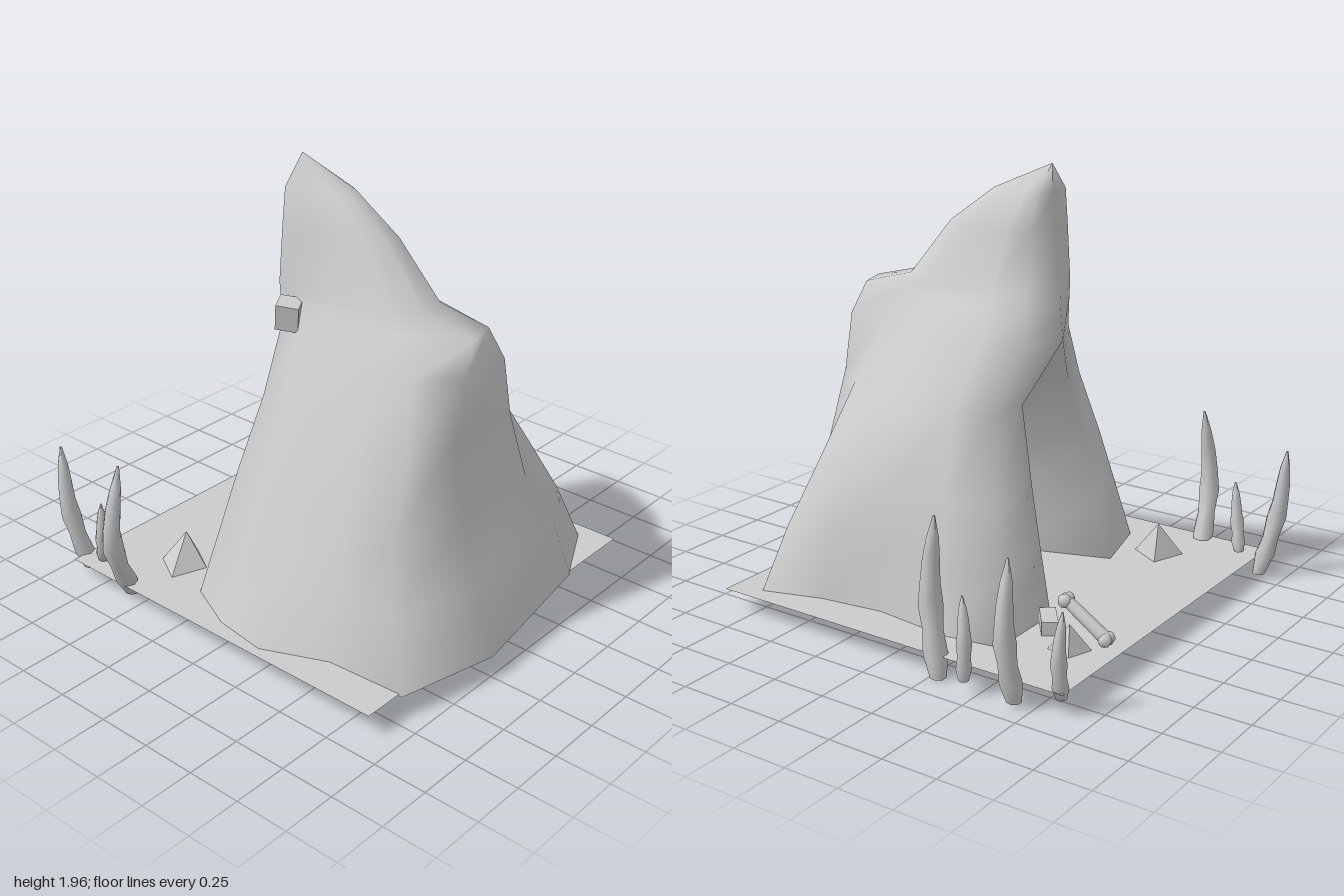
import * as THREE from 'three';
import { toCreasedNormals } from 'three/addons/utils/BufferGeometryUtils.js';

const material = new THREE.MeshStandardMaterial({ color: 0xcccccc, side: THREE.DoubleSide });

// Outer outline per height as [x, z], from the back -x jamb around the front to the back +x jamb.
const lower = [
  { y: 0.093, ring: [[-.38, -.34], [-.70, -.26], [-.81, -.02], [-.845, .23], [-.72, .52], [-.70, .89], [-.24, 1.0], [.49, .885],
    [.795, .73], [.71, .46], [.67, .17], [.71, -.2], [.67, -.45], [.29, -.45]],
    cave: [[.29, .08], [.06, .29], [-.23, .11]] },
  { y: 0.38, ring: [[-.36, -.27], [-.61, -.22], [-.68, 0], [-.70, .22], [-.64, .5], [-.62, .77], [-.22, .89], [.42, .83],
    [.68, .67], [.66, .43], [.64, .17], [.66, -.15], [.60, -.4], [.28, -.39]],
    cave: [[.30, .06], [.04, .31], [-.27, .11]] },
  { y: 0.65, ring: [[-.34, -.23], [-.50, -.2], [-.57, 0], [-.585, .2], [-.55, .45], [-.52, .69], [-.20, .785], [.27, .77],
    [.53, .61], [.60, .4], [.61, .15], [.60, -.13], [.53, -.34], [.26, -.33]],
    cave: [[.26, .05], [.03, .27], [-.25, .1]] },
  { y: 0.97, ring: [[-.25, -.18], [-.36, -.17], [-.42, 0], [-.445, .17], [-.42, .42], [-.39, .65], [-.18, .73], [.19, .73],
    [.33, .56], [.43, .34], [.49, .1], [.47, -.08], [.37, -.22], [.20, -.24]],
    cave: [[.17, 0], [.02, .12], [-.17, .05]] },
];
// Above the arch the outline is closed at one point on the back.
const upper = [
  { y: 1.23, ring: [[.03, -.33], [-.20, -.21], [-.28, -.06], [-.32, .1], [-.30, .35], [-.26, .56], [-.10, .71], [.16, .71],
    [.20, .49], [.25, .3], [.28, .1], [.27, -.08], [.21, -.26]] },
  { y: 1.37, ring: [[.02, -.31], [-.19, -.22], [-.23, -.07], [-.24, .1], [-.22, .27], [-.19, .44], [-.03, .7], [.11, .66],
    [.13, .44], [.16, .26], [.20, .1], [.20, -.06], [.18, -.25]] },
  { y: 1.43, ring: [[.01, -.3], [-.195, -.22], [-.21, -.07], [-.21, .08], [-.19, .22], [-.16, .37], [-.06, .46], [.07, .44],
    [.11, .33], [.13, .2], [.145, .08], [.145, -.05], [.14, -.22]] },
  { y: 1.68, ring: [[-.01, -.26], [-.17, -.22], [-.165, -.11], [-.15, 0], [-.135, .1], [-.11, .19], [-.05, .25], [.03, .25],
    [.07, .18], [.09, .09], [.11, 0], [.115, -.1], [.115, -.22]] },
  { y: 1.84, ring: [[-.02, -.24], [-.15, -.22], [-.135, -.16], [-.12, -.1], [-.10, -.05], [-.08, 0], [-.05, .035], [.01, .035],
    [.03, 0], [.05, -.05], [.06, -.1], [.07, -.16], [.08, -.22]] },
  { y: 1.96, ring: Array(13).fill([-.03, -.23]) },
];

// Rock shell: a horseshoe cross-section that closes into a hooked peak.
function moundGeometry() {
  const rings = [
    ...lower.map(({ y, ring, cave }) => ({ y, points: [...ring, ...cave] })),
    ...upper.map(({ y, ring }) => ({ y, points: [...ring, ...Array(4).fill(ring[0])] })),
  ];
  const n = 17, positions = [], index = [];
  for (const { y, points } of rings) for (const [x, z] of points) positions.push(x, y, z);
  for (let l = 0; l < rings.length - 1; l++) {
    for (let i = 0; i < n; i++) {
      const a = l * n + i, b = l * n + (i + 1) % n;
      index.push(a, b, b + n, a, b + n, a + n);
    }
  }
  const g = new THREE.BufferGeometry();
  g.setAttribute('position', new THREE.Float32BufferAttribute(positions, 3));
  g.setIndex(index);
  return toCreasedNormals(g, 1.7);
}

// Curved, tapering spike through the given points.
function spikeGeometry(points, radius) {
  const curve = new THREE.CatmullRomCurve3(points.map(p => new THREE.Vector3(...p)));
  const g = new THREE.CylinderGeometry(1, 1, 1, 7, 7);
  const pos = g.attributes.position;
  const profile = [0.65, 1, 0.82, 1, 0.8, 0.7, 0.5, 0.1];
  for (let i = 0; i < pos.count; i++) {
    const t = pos.getY(i) + 0.5, c = curve.getPoint(t);
    const r = radius * profile[Math.round(t * 7)];
    pos.setXYZ(i, c.x + pos.getX(i) * r, c.y, c.z + pos.getZ(i) * r);
  }
  return toCreasedNormals(g, 1.2);
}

// Angular stone with a flat underside resting at y = 0.
function rockGeometry(w, h, d) {
  const g = new THREE.OctahedronGeometry(1, 0);
  const pos = g.attributes.position;
  for (let i = 0; i < pos.count; i++) {
    const y = pos.getY(i);
    pos.setXYZ(i, pos.getX(i) * w / 2 + 0.12 * w * y, Math.max(y, 0) * h, pos.getZ(i) * d / 2);
  }
  g.computeVertexNormals();
  return g;
}

// Bone: shaft with a pair of knuckles at each end, lying along z.
function createBone(length) {
  const bone = new THREE.Group();
  const shaft = new THREE.Mesh(new THREE.CylinderGeometry(0.026, 0.03, length, 7), material);
  shaft.rotation.x = Math.PI / 2;
  shaft.name = 'boneShaft';
  bone.add(shaft);
  for (const end of [-1, 1]) for (const side of [-1, 1]) {
    const knuckle = new THREE.Mesh(new THREE.SphereGeometry(0.03, 7, 5), material);
    knuckle.position.set(side * 0.013, 0, end * length / 2);
    knuckle.name = 'boneKnuckle';
    bone.add(knuckle);
  }
  return bone;
}

export function createModel() {
  const model = new THREE.Group();
  const add = (name, geometry, position = [0, 0, 0], rotation = [0, 0, 0]) => {
    const mesh = new THREE.Mesh(geometry, material);
    mesh.name = name;
    mesh.position.set(...position);
    mesh.rotation.set(...rotation);
    model.add(mesh);
  };

  // Ground sheet and cave
  add('ground', new THREE.PlaneGeometry(1.76, 1.755), [-0.008, 0.1, -0.003], [-Math.PI / 2, 0, 0]);
  add('caveMound', moundGeometry());

  // Spikes flanking the entrance: base, middle, tip, radius
  const spikes = [
    [[.86, 0, -.28], [.835, .35, -.225], [.85, .69, -.26], .053],
    [[.92, .06, -.45], [.93, .25, -.46], [.92, .42, -.445], .033],
    [[.89, .02, -.67], [.945, .33, -.66], [.92, .63, -.66], .048],
    [[.83, .06, -.85], [.87, .25, -.86], [.86, .44, -.87], .035],
    [[-.82, .03, -.57], [-.945, .36, -.54], [-.89, .71, -.53], .049],
    [[-.80, .1, -.78], [-.825, .25, -.75], [-.83, .42, -.735], .033],
    [[-.79, .02, -.89], [-.84, .33, -.95], [-.83, .62, -.985], .046],
  ];
  for (const [base, middle, tip, radius] of spikes) {
    add('spike', spikeGeometry([base, middle, tip], radius));
  }

  // Loose stones
  add('entranceRock', rockGeometry(0.26, 0.15, 0.22), [-0.58, 0.1, -0.48], [0, 0.35, 0]);
  add('boneRock', rockGeometry(0.16, 0.12, 0.18), [0.52, 0.1, -0.69], [0, 0.5, 0]);
  add('slabRock', new THREE.BoxGeometry(0.15, 0.06, 0.07), [0.4, 0.13, -0.51], [0, 0.65, 0]);
  add('ledgeRock', new THREE.BoxGeometry(0.09, 0.12, 0.1), [-0.255, 1.33, -0.11], [0.1, 0.5, 0.12]);

  // Bone leaning on a stone
  const bone = createBone(0.23);
  bone.name = 'bone';
  bone.position.set(0.46, 0.22, -0.73);
  bone.rotation.x = -0.57;
  model.add(bone);

  return model;
}
